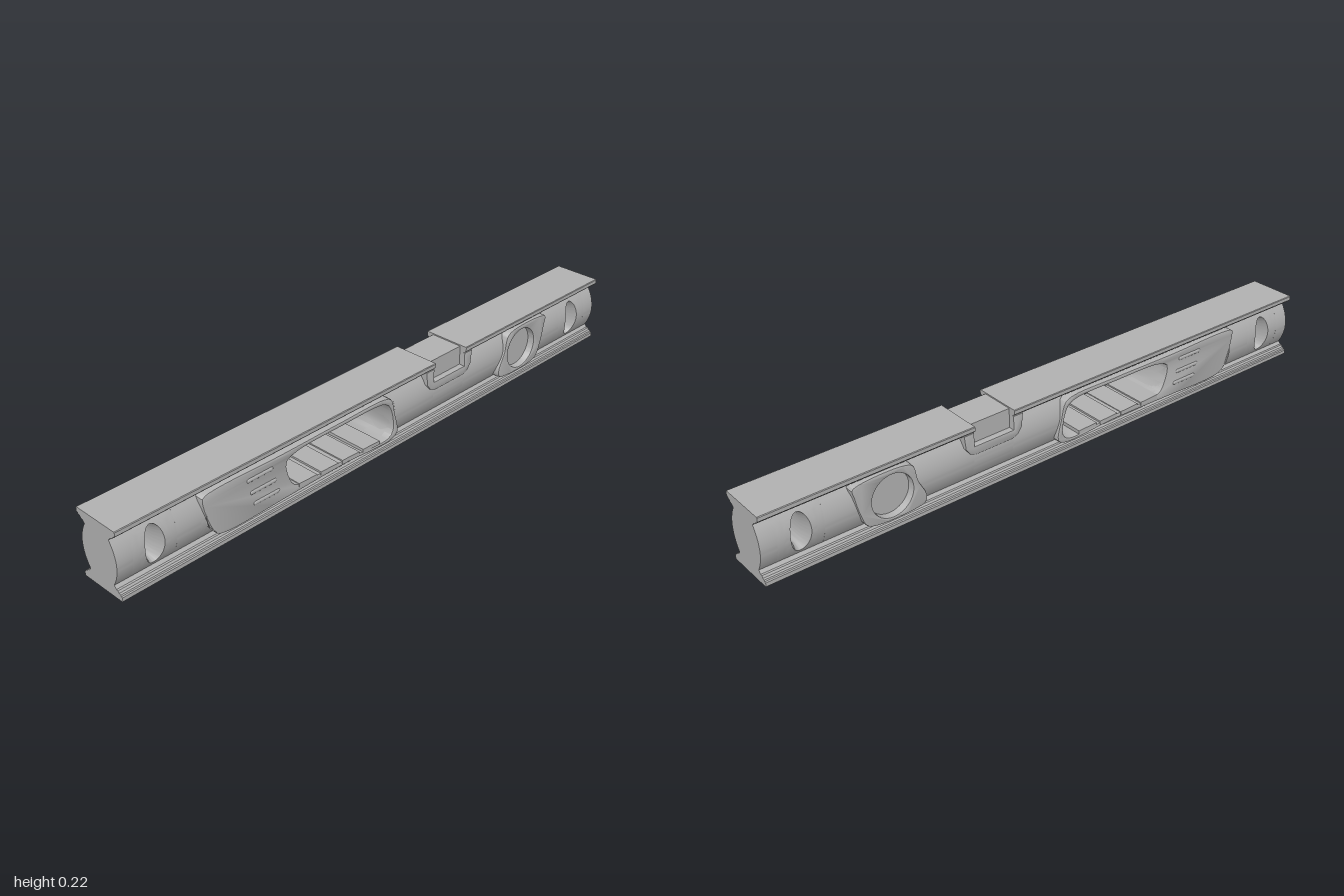
import * as THREE from 'three';
import { toCreasedNormals } from 'three/addons/utils/BufferGeometryUtils.js';

const H = 0.217, MID = H / 2, WAIST = 0.038;
const V = (x, y) => new THREE.Vector2(x, y);

// Half depth of the bulging web at height y
const belly = (y) => 0.05 + 0.022 * (1 - ((y - MID) / (MID - WAIST)) ** 2);

// Symmetric cross-section [halfDepth, y] swept along x
function sweep(half, x0, x1) {
  const pts = [...half.map(([z, y]) => V(z, y)), ...half.slice().reverse().map(([z, y]) => V(-z, y))];
  const g = new THREE.ExtrudeGeometry(new THREE.Shape(pts), { depth: x1 - x0, bevelEnabled: false });
  g.rotateY(Math.PI / 2);
  g.translate(x0, 0, 0);
  return toCreasedNormals(g, 0.4);
}

function webProfile(top) {
  const out = [];
  for (let i = 0; i <= 16; i++) {
    const y = WAIST + (top - WAIST) * i / 16;
    out.push([belly(y), y]);
  }
  return out;
}

// Smooth closed outline, counterclockwise
function outline(points, n = 64) {
  const c = new THREE.CatmullRomCurve3(points.map(([x, y]) => new THREE.Vector3(x, y, 0)), true);
  return c.getSpacedPoints(n).slice(0, n).map((p) => V(p.x, p.y));
}

function ellipse(cx, rx, ry, n = 64) {
  return Array.from({ length: n }, (_, i) => {
    const a = i / n * Math.PI * 2;
    return V(cx + rx * Math.cos(a), MID + ry * Math.sin(a));
  });
}

// Web section with a through opening; pinch narrows the tunnel at its middle
function openWeb(x0, x1, hole, pinch = 1) {
  const cx = (x0 + x1) / 2, hw = (x1 - x0) / 2, hh = MID - WAIST, n = hole.length;
  const uv = hole.map((p) => {
    const u = (p.x - cx) / hw, v = (p.y - MID) / hh, m = Math.max(Math.abs(u), Math.abs(v));
    return V(u / m, v / m);
  });
  for (const [u, v] of [[1, 1], [-1, 1], [-1, -1], [1, -1]]) {
    const corner = V(u, v);
    let best = 0;
    uv.forEach((p, i) => { if (p.distanceTo(corner) < uv[best].distanceTo(corner)) best = i; });
    uv[best].copy(corner);
  }
  const rect = uv.map((p) => V(cx + p.x * hw, MID + p.y * hh));
  const ring = (t, s) => hole.map((p, i) => {
    const q = p.clone().lerp(rect[i], t);
    return [q.x, q.y, s * belly(q.y)];
  });
  const throat = (s) => hole.map((p) => [cx + (p.x - cx) * pinch, MID + (p.y - MID) * (1 + pinch) / 2, s * 0.03]);
  const loops = [];
  for (let k = 6; k >= 0; k--) loops.push(ring(k / 6, -1));
  loops.push(throat(-1), throat(1));
  for (let k = 0; k <= 6; k++) loops.push(ring(k / 6, 1));
  const idx = [];
  for (let k = 0; k < loops.length - 1; k++) for (let i = 0; i < n; i++) {
    const j = (i + 1) % n, a = k * n + i, b = k * n + j, c = a + n, d = b + n;
    idx.push(a, c, d, a, d, b);
  }
  const g = new THREE.BufferGeometry();
  g.setAttribute('position', new THREE.Float32BufferAttribute(loops.flat(2), 3));
  g.setIndex(idx);
  return toCreasedNormals(g, 0.5);
}

// Plate running through the body and standing proud on both faces
function throughPlate(outer, holes, halfDepth, bevel = 0.004) {
  const s = new THREE.Shape(outer);
  holes.forEach((h) => s.holes.push(new THREE.Path(h)));
  const g = new THREE.ExtrudeGeometry(s, {
    depth: 2 * (halfDepth - bevel), bevelEnabled: true, bevelThickness: bevel,
    bevelSize: bevel, bevelOffset: -bevel, bevelSegments: 2,
  });
  g.translate(0, 0, bevel - halfDepth);
  return toCreasedNormals(g, 0.5);
}

export function createModel() {
  const group = new THREE.Group();
  const grey = new THREE.MeshStandardMaterial({ color: 0xb0b0b0 });
  grey.name = 'grey metal';
  const add = (name, geometry) => {
    const m = new THREE.Mesh(geometry, grey);
    m.name = name;
    group.add(m);
    return m;
  };

  // Flanged rails, the top one interrupted by the vial window
  const rail = [[0.05, WAIST], [0.058, 0.029], [0.064, 0.028], [0.068, 0.022], [0.074, 0.02],
    [0.076, 0.016], [0.08, 0.014], [0.08, 0.002], [0.078, 0]];
  const topRail = rail.map(([z, y]) => [z, H - y]);
  add('bottomRail', sweep(rail.slice().reverse(), -1, 1));
  add('topRailRight', sweep(topRail, -1, 0.18));
  add('topRailLeft', sweep(topRail, 0.32, 1));

  // Solid stretches of the web
  const webTop = H - WAIST;
  for (const [a, b, top] of [[-1, -0.95], [-0.81, -0.73], [-0.57, -0.45], [0.01, 0.18],
    [0.18, 0.32, 0.15], [0.32, 0.52], [0.68, 0.81], [0.95, 1]]) {
    add('web', sweep(webProfile(top ?? webTop), a, b));
  }

  // Oval hanging holes near both ends
  for (const x of [-0.88, 0.88]) add('hangingHole', openWeb(x - 0.07, x + 0.07, ellipse(x, 0.031, 0.06), 0.7));

  // Hand opening and the two round vial openings
  const grip = [[-0.005, 0.065], [-0.02, 0.15], [-0.045, 0.167], [-0.22, 0.172], [-0.395, 0.166],
    [-0.43, 0.15], [-0.41, 0.072], [-0.39, 0.06], [-0.2, 0.055], [-0.025, 0.045]];
  const gripHole = outline(grip);
  add('handOpening', openWeb(-0.45, 0.01, gripHole));
  add('endVialOpening', openWeb(-0.73, -0.57, ellipse(-0.65, 0.066, 0.066)));
  add('sideVialOpening', openWeb(0.52, 0.68, ellipse(0.6, 0.068, 0.068)));

  // Raised surrounds
  const gripEdge = outline([[0.015, 0.05], [0.003, 0.12], [-0.012, 0.172], [-0.04, 0.184], [-0.22, 0.186],
    [-0.45, 0.184], [-0.69, 0.186], [-0.725, 0.178], [-0.725, 0.15], [-0.705, 0.08], [-0.685, 0.045], [-0.655, 0.035],
    [-0.42, 0.037], [-0.2, 0.04], [-0.01, 0.034]], 120);
  add('handleSurround', throughPlate(gripEdge, [gripHole, ellipse(-0.65, 0.064, 0.064)], 0.079));
  const vialEdge = outline([[0.72, 0.15], [0.725, 0.178], [0.695, 0.188], [0.56, 0.188], [0.53, 0.175],
    [0.515, 0.12], [0.49, 0.065], [0.495, 0.042], [0.525, 0.034], [0.65, 0.034], [0.685, 0.046], [0.705, 0.09]], 80);
  add('sideVialSurround', throughPlate(vialEdge, [ellipse(0.6, 0.067, 0.067)], 0.079));

  // Round vial faces, recessed on both sides
  for (const [x, r, depth] of [[-0.65, 0.066, 0.07], [0.6, 0.069, 0.055]]) {
    const g = new THREE.CylinderGeometry(r, r, depth * 2, 48);
    g.rotateX(Math.PI / 2);
    add('vialFace', g).position.set(x, MID, 0);
  }

  // Top vial block and its U-shaped bracket
  const block = add('topVialBlock', new THREE.BoxGeometry(0.14, 0.072, 0.11));
  block.position.set(0.25, 0.177, 0);
  add('topVialBracket', throughPlate([V(0.145, 0.195), V(0.15, 0.15), V(0.165, 0.13), V(0.185, 0.122),
    V(0.315, 0.122), V(0.335, 0.13), V(0.35, 0.15), V(0.355, 0.195), V(0.32, 0.195), V(0.32, 0.15),
    V(0.18, 0.15), V(0.18, 0.195)], [], 0.075, 0.002));

  // Three rounded bars beside the hand opening
  [0.157, 0.115, 0.076].forEach((y, i) => {
    const g = new THREE.CapsuleGeometry(0.008, 0.082, 4, 12);
    g.rotateZ(Math.PI / 2);
    for (const s of [-1, 1]) add('gripBar', g).position.set(-0.528 + i * 0.01, y, s * 0.0745);
  });

  // Finger pads along the hand opening floor
  for (let i = 0; i < 4; i++) {
    const pad = add('fingerPad', new THREE.BoxGeometry(0.07, 0.012, 0.162));
    pad.position.set(-0.355 + i * 0.085, 0.055 - i * 0.0015, 0);
    pad.rotation.z = -0.04;
  }
  return group;
}
